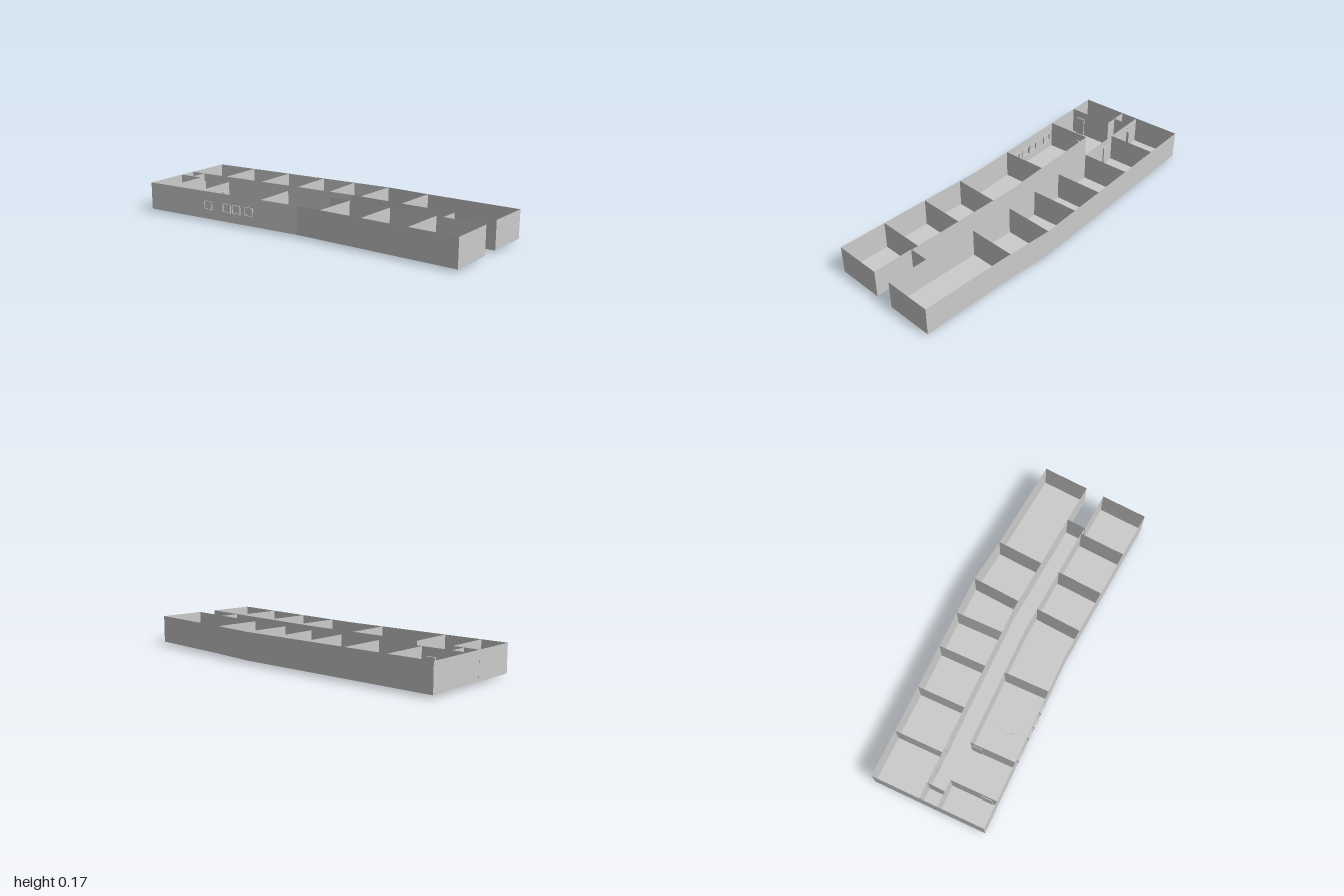
import * as THREE from 'three';

const FLOOR = 0.015, TOP = 0.17;
const mat = new THREE.MeshStandardMaterial({ color: 0xcccccc, flatShading: true, side: THREE.DoubleSide });

// plan lines as [x, z] points
const leftSide = [[-0.365, -0.95], [-0.285, 0.06], [-0.283, 1]];
const rightSide = [[0.265, -1], [0.36, 0.2], [0.35, 0.5], [0.35, 1]];
const hallLeft = [[-0.085, -0.605], [-0.028, 0.08], [-0.02, 0.77]];
const hallRight = [[-0.007, -0.978], [0.085, 0.14], [0.087, 0.77]];
const SLOPE = -0.08; // cross walls in the skewed rear half

function xAt(line, z) {
  let i = 1;
  while (i < line.length - 1 && z > line[i][1]) i++;
  const [a, b] = [line[i - 1], line[i]];
  return a[0] + (b[0] - a[0]) * (z - a[1]) / (b[1] - a[1]);
}

function add(parent, geometry, name) {
  const mesh = new THREE.Mesh(geometry, mat);
  mesh.name = name;
  parent.add(mesh);
  return mesh;
}

// thin upright wall following a plan line
function wall(parent, points, name) {
  const pos = [], index = [];
  points.forEach(([x, z], i) => {
    pos.push(x, FLOOR, z, x, TOP, z);
    if (i) {
      const k = 2 * i;
      index.push(k - 2, k, k + 1, k - 2, k + 1, k - 1);
    }
  });
  const g = new THREE.BufferGeometry();
  g.setAttribute('position', new THREE.Float32BufferAttribute(pos, 3));
  g.setIndex(index);
  g.computeVertexNormals();
  return add(parent, g, name);
}

// wall between two plan lines, skewed with the rear half of the building
function partition(parent, lineA, lineB, z, name) {
  const xa = xAt(lineA, z);
  const skew = z < 0.1 ? SLOPE : 0;
  const zb = z + skew * (xAt(lineB, z) - xa);
  wall(parent, [[xa, z], [xAt(lineB, zb), zb]], name);
}

function box(parent, w, h, d, x, y, z, turn, name) {
  const m = add(parent, new THREE.BoxGeometry(w, h, d), name);
  m.position.set(x, y, z);
  m.rotation.y = turn;
  return m;
}

export function createModel() {
  const model = new THREE.Group();
  model.name = 'roofless building';

  // floor and outer walls, with the entrance recess at the front
  const outline = [
    ...leftSide, [-0.02, 1], [-0.024, 0.77], [0.087, 0.77], [0.087, 1],
    ...[...rightSide].reverse(),
  ];
  const shape = new THREE.Shape(outline.map(([x, z]) => new THREE.Vector2(x, -z)));
  const floor = add(model, new THREE.ShapeGeometry(shape), 'floor');
  floor.rotation.x = -Math.PI / 2;
  floor.position.y = FLOOR;
  wall(model, [...outline, outline[0]], 'outerWall');

  // hallway walls
  wall(model, hallLeft, 'hallLeftWall');
  wall(model, hallRight, 'hallRightWall');

  // rooms either side of the hallway
  const rooms = new THREE.Group();
  rooms.name = 'roomPartitions';
  model.add(rooms);
  for (const z of [0.73, 0.46, 0.21, -0.17]) partition(rooms, leftSide, hallLeft, z, 'leftPartition');
  for (const z of [0.46, 0.2, 0, -0.21, -0.46, -0.72]) partition(rooms, hallRight, rightSide, z, 'rightPartition');
  wall(rooms, [[xAt(leftSide, -0.583), -0.583], hallLeft[0]], 'lobbyFrontWall');

  // rear rooms beyond the lobby
  wall(rooms, [[xAt(leftSide, -0.8), -0.8], [-0.095, -0.821], [-0.107, -0.971]], 'rearRoomWall');
  wall(rooms, [[-0.101, -0.885], [0.001, -0.89]], 'rearClosetWall');

  // doors: x, z, width, bottom, runs along the hall
  const doors = new THREE.Group();
  doors.name = 'doors';
  model.add(doors);
  const doorList = [
    [-0.297, -0.803, 0.055, 0.01, false],
    [-0.012, -0.885, 0.055, 0.01, false],
    [-0.12, -0.6, 0.055, 0.01, false],
    [0.013, -0.775, 0.055, 0.01, true],
    [0.021, -0.665, 0.055, 0, true],
  ];
  for (const [x, z, w, y0, along] of doorList) {
    const turn = 0.08 + (along ? Math.PI / 2 : 0);
    box(doors, w, 0.125 - y0, 0.01, x, (0.125 + y0) / 2, z, turn, 'door');
  }

  // window frames on the left outer wall
  const windows = new THREE.Group();
  windows.name = 'windows';
  model.add(windows);
  for (const z of [-0.53, -0.4, -0.335, -0.25]) {
    const frame = new THREE.Group();
    frame.name = 'windowFrame';
    frame.position.set(xAt(leftSide, z), 0.092, z);
    frame.rotation.y = 0.08;
    windows.add(frame);
    for (const s of [-1, 1]) {
      box(frame, 0.012, 0.05, 0.005, 0, 0, s * 0.026, 0, 'windowJamb');
      box(frame, 0.012, 0.005, 0.057, 0, s * 0.0225, 0, 0, 'windowRail');
    }
  }

  // round floor mat
  const rug = add(model, new THREE.CylinderGeometry(0.079, 0.079, 0.003, 40), 'roundMat');
  rug.position.set(-0.188, FLOOR + 0.0015, -0.36);

  return model;
}
